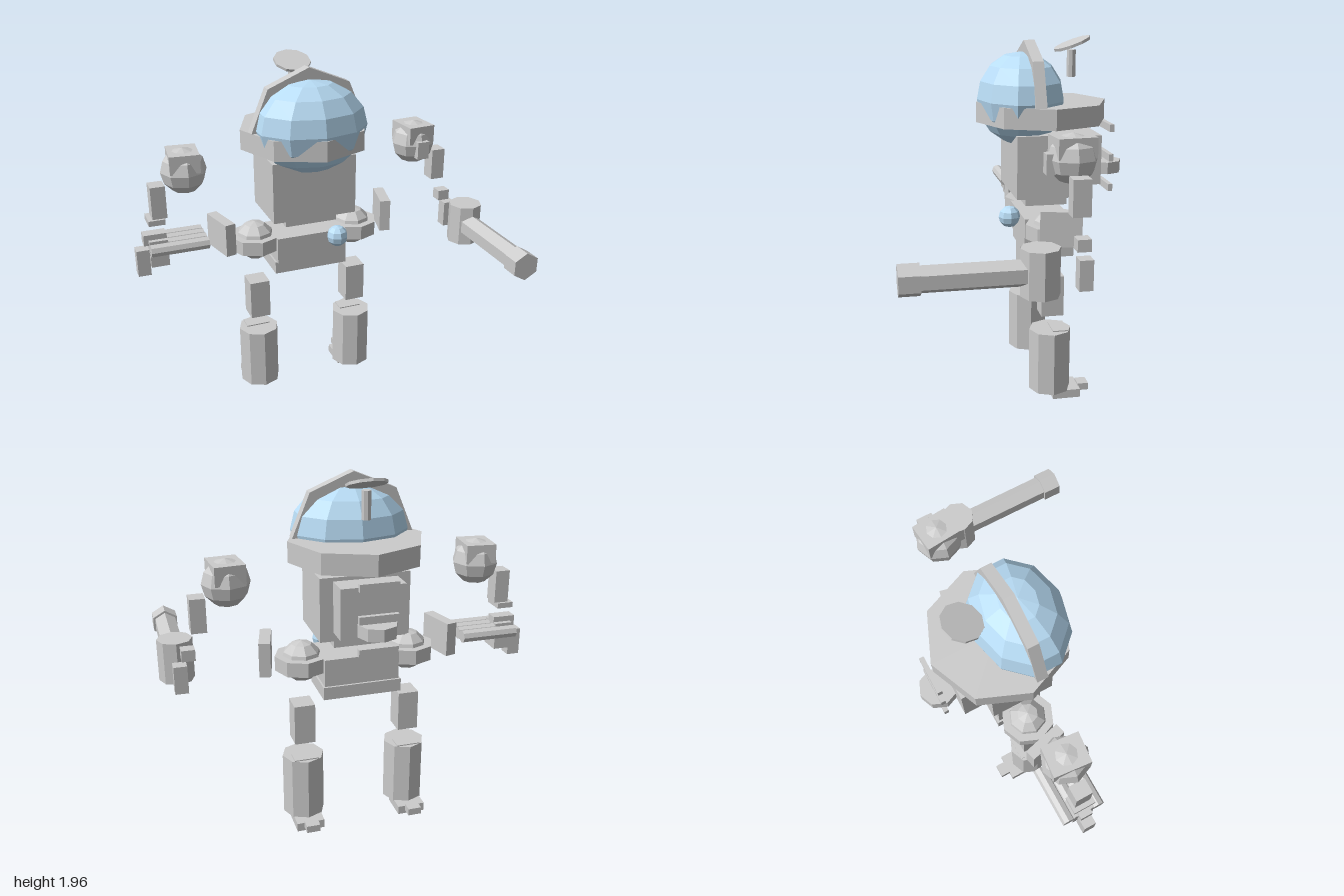
import * as THREE from 'three';

const grey = new THREE.MeshStandardMaterial({ color: 0xcccccc, flatShading: true });
const glass = new THREE.MeshStandardMaterial({ color: 0xb8dcf5, flatShading: true });

export function createModel() {
  const root = new THREE.Group();
  root.name = 'robot';
  // all parts are placed relative to the body axis
  const body = new THREE.Group();
  body.name = 'body';
  body.position.set(-0.03, 0, -0.2);
  root.add(body);

  const add = (name, geometry, x, y, z, material = grey) => {
    const mesh = new THREE.Mesh(geometry, material);
    mesh.name = name;
    mesh.position.set(x, y, z);
    body.add(mesh);
    return mesh;
  };
  const box = (name, w, h, d, x, y, z) => add(name, new THREE.BoxGeometry(w, h, d), x, y, z);
  const drum = (name, r, h, sides, x, y, z) =>
    add(name, new THREE.CylinderGeometry(r, r, h, sides), x, y, z);
  const ball = (name, r, w, h, x, y, z, material) =>
    add(name, new THREE.SphereGeometry(r, w, h), x, y, z, material);

  // torso, backpack, waist and pelvis
  box('torso', 0.48, 0.34, 0.35, 0, 1.29, 0.005);
  box('backpack', 0.34, 0.27, 0.13, 0, 1.305, -0.235);
  box('waist', 0.3, 0.06, 0.23, 0, 1.09, 0);
  box('pelvis', 0.41, 0.15, 0.26, 0, 0.925, 0);
  box('pelvisBase', 0.43, 0.07, 0.255, 0, 0.815, -0.015);
  ball('beltLamp', 0.06, 8, 6, 0.125, 1.0, 0.2, glass);

  // thruster and vent bars behind the backpack
  drum('thruster', 0.103, 0.065, 8, 0, 1.24, -0.36);
  for (const y of [1.465, 1.3, 1.13]) box('ventBar', 0.205, 0.04, 0.025, 0, y, -0.378);

  // head: collar, glass dome and half-ring arch
  drum('collar', 0.36, 0.11, 8, 0, 1.56, 0);
  const dome = ball('dome', 1, 10, 8, 0, 1.63, 0.115, glass);
  dome.geometry.rotateY(Math.PI / 2);
  dome.scale.set(0.315, 0.25, 0.24);

  const arch = new THREE.Shape();
  const rim = (r, i) => [r * Math.cos(i * Math.PI / 4), r * Math.sin(i * Math.PI / 4)];
  arch.moveTo(...rim(0.325, 0));
  for (let i = 1; i <= 4; i++) arch.lineTo(...rim(0.325, i));
  for (let i = 4; i >= 0; i--) arch.lineTo(...rim(0.24, i));
  arch.closePath();
  add('domeArch', new THREE.ExtrudeGeometry(arch, { depth: 0.06, bevelEnabled: false }), 0, 1.615, 0.04);

  // antenna
  drum('antennaPost', 0.025, 0.145, 8, 0, 1.813, -0.165);
  drum('antennaDish', 0.104, 0.015, 10, 0, 1.918, -0.168).rotation.x = 0.36;

  // limbs, mirrored left and right
  for (const s of [1, -1]) {
    ball('hipBall', 0.112, 8, 6, s * 0.297, 0.963, 0);
    drum('hipDisc', 0.145, 0.08, 8, s * 0.297, 0.96, 0);
    box('hipPlate', 0.06, 0.185, 0.215, s * 0.49, 1.028, 0).rotation.y = -s * 0.24;

    ball('shoulderBall', 0.125, 8, 6, s * 0.677, 1.43, 0);
    box('shoulderCap', 0.16, 0.1, 0.195, s * 0.677, 1.49, 0).rotation.y = s * 0.1;
    box('upperArm', 0.08, 0.18, 0.09, s * 0.83, 1.28, 0);
    box('wrist', 0.07, 0.06, 0.067, s * 0.89, 1.07, 0);
    box('hand', 0.07, 0.15, 0.067, s * 0.935, 0.94, 0);

    box('thigh', 0.115, 0.225, 0.122, s * 0.297, 0.603, 0.005);
    drum('shin', 0.116, 0.355, 8, s * 0.297, 0.222, 0.005);
    box('kneePlate', 0.135, 0.015, 0.085, s * 0.297, 0.398, -0.04);
    box('foot', 0.155, 0.048, 0.155, s * 0.297, 0.024, -0.078);
    box('heel', 0.075, 0.04, 0.06, s * 0.297, 0.04, -0.183);
  }
  box('shoulderLatch', 0.07, 0.1, 0.06, 0.68, 1.41, 0.105);

  // left arm cannon
  drum('cannonBody', 0.095, 0.23, 8, 0.935, 0.965, 0.21);
  drum('cannonBarrel', 0.066, 0.5, 6, 0.935, 0.963, 0.53).rotation.x = Math.PI / 2;
  drum('cannonMuzzle', 0.079, 0.1, 6, 0.935, 0.963, 0.81).rotation.x = Math.PI / 2;

  // right arm gun with a row of barrels
  for (let i = 0; i < 4; i++)
    drum('gunBarrel', 0.035, 0.315, 8, -0.743, 1.03, -0.088 + i * 0.058).rotation.z = Math.PI / 2;
  box('gunMount', 0.1, 0.15, 0.12, -0.85, 0.995, 0);
  box('gunTopBlock', 0.125, 0.06, 0.067, -0.863, 1.07, 0);
  box('armPlate', 0.09, 0.03, 0.12, -0.85, 1.175, 0);

  return root;
}
